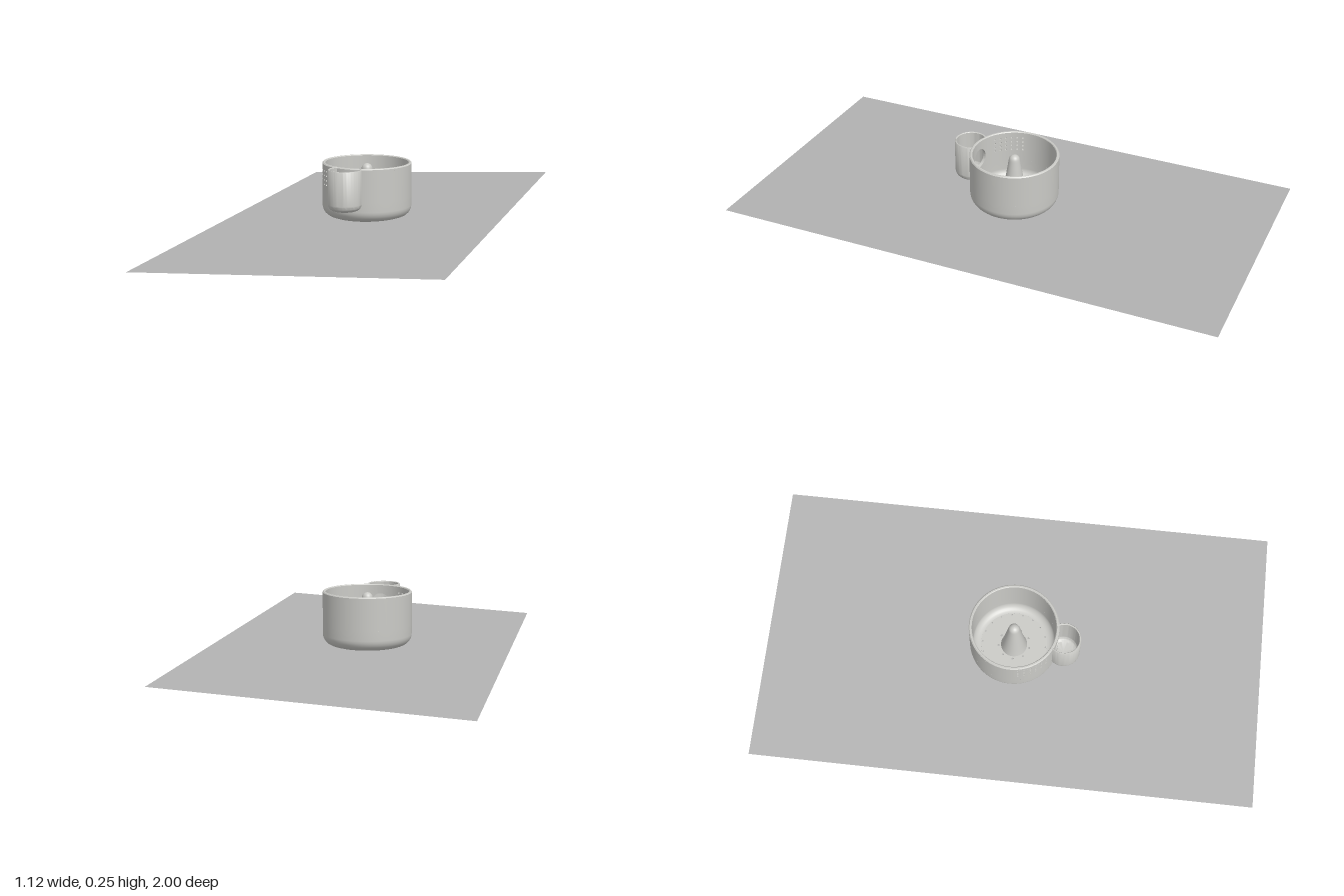
import * as THREE from 'three';
import { toCreasedNormals } from 'three/addons/utils/BufferGeometryUtils.js';

const DEG = Math.PI / 180;
const R_OUT = 0.178, R_IN = 0.166, R_MID = 0.172, TOP = 0.247, BASE = 0.031, FLOOR = 0.043;
const bowlMaterial = new THREE.MeshStandardMaterial({ color: 0xcacac6 });
bowlMaterial.name = 'warm light grey';
const sheetMaterial = new THREE.MeshStandardMaterial({ color: 0xb2b2b2, side: THREE.DoubleSide });
sheetMaterial.name = 'mid grey';

function add(parent, name, geometry, material = bowlMaterial) {
  const mesh = new THREE.Mesh(geometry, material);
  mesh.name = name;
  parent.add(mesh);
  return mesh;
}

// Revolve [radius, y] points; angles in degrees from +z towards +x
function revolve(points, from = 0, to = 360, segments = 72) {
  const steps = Math.max(2, Math.ceil(segments * (to - from) / 360));
  return new THREE.LatheGeometry(points.map(p => new THREE.Vector2(...p)), steps, from * DEG, (to - from) * DEG);
}
const crease = g => toCreasedNormals(g, 0.6);

// Quarter-circle points around (cx, cy)
function arc(cx, cy, r, from, to, n = 7) {
  return Array.from({ length: n + 1 }, (_, i) => {
    const a = (from + (to - from) * i / n) * DEG;
    return [cx + r * Math.cos(a), cy + r * Math.sin(a)];
  });
}

// Both skins of a piece of the bowl wall
function wallStrip(parent, from, to, y0, y1) {
  add(parent, 'wallOutside', revolve([[R_OUT, y0], [R_OUT, y1]], from, to));
  add(parent, 'wallInside', revolve([[R_IN, y1], [R_IN, y0]], from, to));
}

// Curved wall panel with a round through-hole: rings run rectangle > hole > hole > rectangle
function holedPanel(angle, halfAngle, y0, y1, holeY, holeR, n = 32, rows = 4) {
  const rings = [];
  for (let k = 0; k <= rows; k++) rings.push([R_OUT, k / rows]);
  for (let k = rows; k >= 0; k--) rings.push([R_IN, k / rows]);
  const pos = [], index = [];
  for (const [r, f] of rings) {
    for (let i = 0; i < n; i++) {
      const t = i / n * Math.PI * 2, c = Math.cos(t), s = Math.sin(t), m = Math.max(Math.abs(c), Math.abs(s));
      const rectY = s > 0 ? (y1 - holeY) * s / m : (holeY - y0) * s / m;
      const a = angle * DEG + THREE.MathUtils.lerp(halfAngle * DEG * c / m, holeR / R_MID * c, f);
      pos.push(r * Math.sin(a), holeY + THREE.MathUtils.lerp(rectY, holeR * s, f), r * Math.cos(a));
    }
  }
  for (let s = 0; s < rings.length - 1; s++) {
    for (let i = 0; i < n; i++) {
      const j = (i + 1) % n, a = s * n + i, b = s * n + j;
      index.push(a, b, a + n, b, b + n, a + n);
    }
  }
  const g = new THREE.BufferGeometry();
  g.setAttribute('position', new THREE.Float32BufferAttribute(pos, 3));
  g.setIndex(index);
  return crease(g);
}

function buildBowl() {
  const bowl = new THREE.Group();
  bowl.name = 'bowl';
  const Y0 = 0.115, Y1 = 0.235;

  // Rounded lower shell and rim
  add(bowl, 'lowerShellOutside', revolve([...arc(0.134, BASE + 0.044, 0.044, -90, 0), [R_OUT, Y0]]));
  add(bowl, 'lowerShellInside', revolve([[R_IN, Y0], ...arc(0.134, FLOOR + 0.032, 0.032, 0, -90)]));
  add(bowl, 'rim', crease(revolve([[R_OUT, Y1], [R_OUT, TOP - 0.004], [R_OUT - 0.004, TOP],
    [R_IN + 0.003, TOP], [R_IN, TOP - 0.003], [R_IN, Y1]])));

  // Floor with two rings of drain holes
  const floor = new THREE.Shape().absarc(0, 0, 0.134, 0, Math.PI * 2);
  for (const [count, radius, size] of [[9, 0.063, 0.004], [18, 0.128, 0.003]]) {
    for (let i = 0; i < count; i++) {
      const a = (i + 0.5) / count * Math.PI * 2;
      floor.holes.push(new THREE.Path().absarc(radius * Math.cos(a), radius * Math.sin(a), size, 0, Math.PI * 2, true));
    }
  }
  const floorGeometry = new THREE.ExtrudeGeometry(floor, { depth: FLOOR - BASE, bevelEnabled: false, curveSegments: 24 });
  add(bowl, 'floor', floorGeometry.rotateX(-Math.PI / 2)).position.y = BASE;

  // Middle band: window into the side cup, perforated patch, plain remainder
  const win = -8.2, half = 17, gridFrom = -83, cell = 8, rowH = 0.018, gridY = 0.157;
  const gridTo = gridFrom + 6 * cell;
  add(bowl, 'window', holedPanel(win, half, Y0, Y1, 0.168, 0.042, 48));
  wallStrip(bowl, gridTo, win - half, Y0, Y1);
  wallStrip(bowl, win + half, 360 + gridFrom, Y0, Y1);
  wallStrip(bowl, gridFrom, gridTo, Y0, gridY);
  wallStrip(bowl, gridFrom, gridTo, gridY + 4 * rowH, Y1);
  for (let c = 0; c < 6; c++) {
    for (let r = 0; r < 4; r++) {
      const y = gridY + r * rowH;
      add(bowl, 'perforation', holedPanel(gridFrom + (c + 0.5) * cell, cell / 2, y, y + rowH, y + rowH / 2, 0.004, 16, 1));
    }
  }

  // Tapered centre post with a domed tip
  add(bowl, 'centrePost', revolve([[0.053, FLOOR], [0.044, 0.085], [0.023, 0.215], ...arc(0, 0.218, 0.022, 5, 90)], 0, 360, 40));
  return bowl;
}

function buildSideCup() {
  const cup = new THREE.Group();
  cup.name = 'sideCup';
  const cx = -0.029, cz = 0.2015, r = 0.0655, ri = 0.0585, low = 0.086, mid = 0.113;
  const facing = Math.atan2(-cx, -cz) / DEG;

  // Rounded base, its inner side pushed onto the bowl wall
  const base = revolve([[0, low], ...arc(r - 0.026, low + 0.026, 0.026, -90, 0), [r, mid], [ri, mid],
    ...arc(ri - 0.018, low + 0.026, 0.018, 0, -90), [0, low + 0.008]], 0, 360, 64);
  base.translate(cx, 0, cz);
  const p = base.attributes.position;
  for (let i = 0; i < p.count; i++) {
    const d = Math.hypot(p.getX(i), p.getZ(i));
    if (d < R_MID) p.setXYZ(i, p.getX(i) * R_MID / d, p.getY(i), p.getZ(i) * R_MID / d);
  }
  add(cup, 'cupBase', crease(base));

  // Open wall ending inside the bowl wall
  const wall = revolve([[r, mid], [r, TOP - 0.003], [r - 0.002, TOP], [ri + 0.002, TOP], [ri, TOP - 0.002], [ri, mid]],
    facing + 51, facing + 309, 64);
  add(cup, 'cupWall', crease(wall)).position.set(cx, 0, cz);
  return cup;
}

export function createModel() {
  const model = new THREE.Group();
  model.name = 'bowlOnSheet';
  model.add(buildBowl(), buildSideCup());

  // Thin sheet, rising slightly towards +x
  const sheet = add(model, 'groundSheet', new THREE.PlaneGeometry(Math.hypot(1.12, 0.06), 2).rotateX(-Math.PI / 2), sheetMaterial);
  sheet.rotation.z = Math.atan2(0.06, 1.12);
  sheet.position.y = 0.03;
  return model;
}
